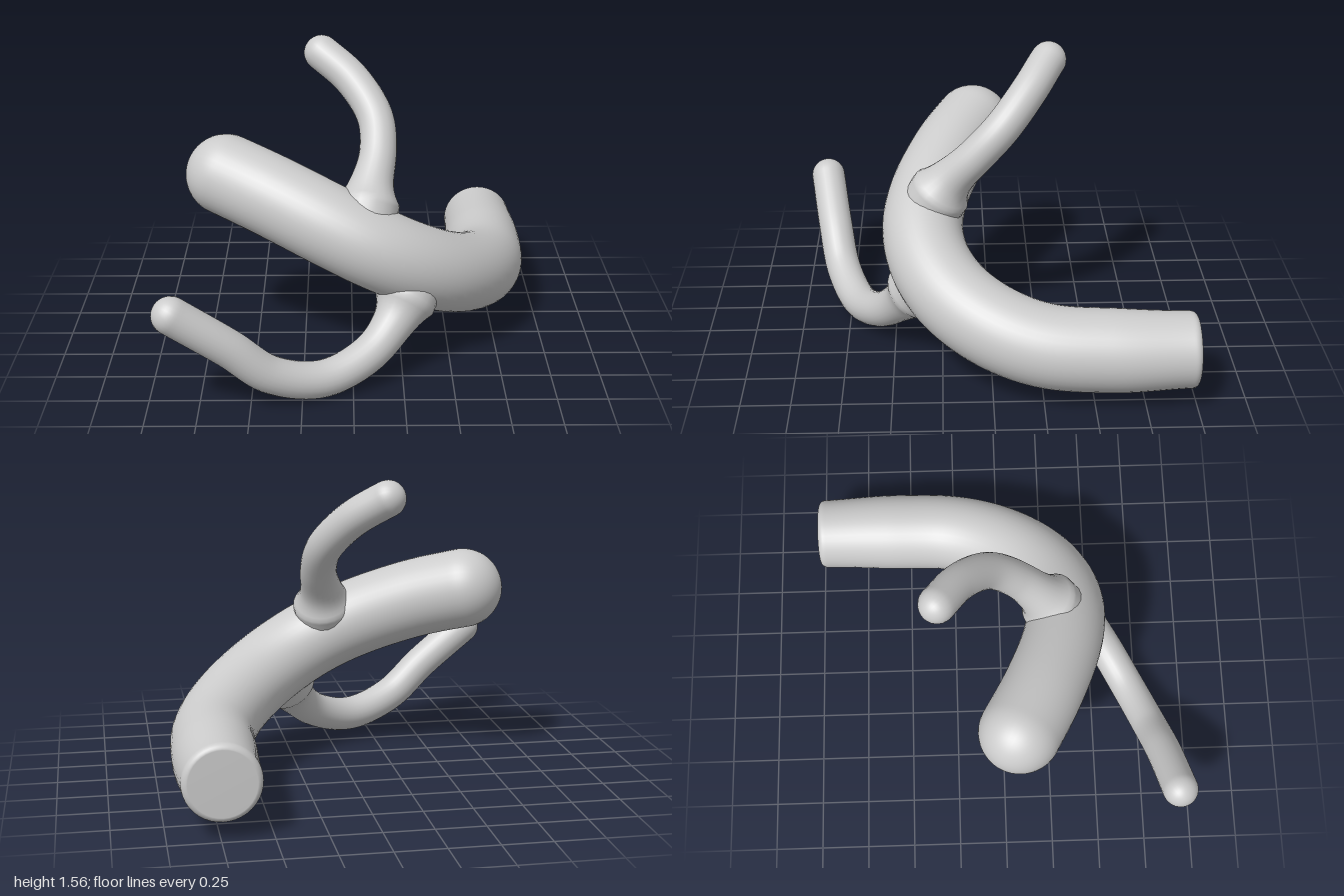
import * as THREE from 'three';
import { mergeVertices } from 'three/addons/utils/BufferGeometryUtils.js';

const material = new THREE.MeshStandardMaterial({ color: 0xcccccc });

// Round tube along a curve; radiusAt(s, length) gives its radius at distance s.
function limb(name, points, segments, sides, radiusAt) {
  const curve = new THREE.CatmullRomCurve3(points.map((p) => new THREE.Vector3(...p)), false, 'centripetal');
  const length = curve.getLength();
  // crowd the rings towards both ends so the caps come out round
  const ease = (u) => (1 - Math.cos(Math.PI * u)) / 2;
  const map = curve.getUtoTmapping.bind(curve);
  curve.getUtoTmapping = (u, d) => map(ease(u), d);

  let geometry = new THREE.TubeGeometry(curve, segments, 1, sides, false);
  const position = geometry.attributes.position;
  const v = new THREE.Vector3();
  for (let i = 0; i <= segments; i++) {
    const center = curve.getPointAt(i / segments);
    const r = radiusAt(ease(i / segments) * length, length);
    for (let j = 0; j <= sides; j++) {
      const k = i * (sides + 1) + j;
      v.fromBufferAttribute(position, k).sub(center).multiplyScalar(r).add(center);
      position.setXYZ(k, v.x, v.y, v.z);
    }
  }
  geometry.deleteAttribute('uv');
  geometry.deleteAttribute('normal');
  geometry = mergeVertices(geometry, 1e-5);
  geometry.computeVertexNormals();
  const mesh = new THREE.Mesh(geometry, material);
  mesh.name = name;
  return mesh;
}

// Radius that closes in a hemisphere over the last r units
const roundTip = (r, left) => (left < r ? Math.sqrt(Math.max(0, r * r - (r - left) ** 2)) : r);

// Trunk: flat cut end with a rounded rim, rounded far tip
function trunkRadius(s, length) {
  if (s === 0) return 0;
  const rim = 0.035;
  const body = 0.19 + 0.018 * THREE.MathUtils.smoothstep(s, 0, 0.45);
  const cut = s < rim ? rim - Math.sqrt(rim * rim - (rim - s) ** 2) : 0;
  return roundTip(body, length - s) - cut;
}

// Branch: flares where it grows out of the trunk, rounded tip
function branchRadius(s, length) {
  const r = 0.093;
  return roundTip(r, length - s) + 0.065 * Math.exp(-Math.max(0, s - 0.19) / 0.08);
}

export function createModel() {
  const group = new THREE.Group();
  group.name = 'branchingTube';
  group.add(
    limb('trunk', [
      [0.74, 0.28, -1], [0.74, 0.28, -0.6], [0.715, 0.3, -0.25], [0.62, 0.36, 0.0],
      [0.46, 0.45, 0.2], [0.28, 0.55, 0.31], [0.1, 0.645, 0.345], [-0.1, 0.74, 0.315],
      [-0.4, 0.86, 0.2], [-0.65, 0.935, 0.07], [-0.82, 0.98, -0.02],
    ], 110, 40, trunkRadius),
    limb('lowerBranch', [
      [0.33, 0.5, 0.29], [0.2, 0.28, 0.46], [0.07, 0.16, 0.575], [-0.15, 0.095, 0.7],
      [-0.4, 0.17, 0.8], [-0.6, 0.34, 0.85], [-0.86, 0.535, 0.9], [-0.93, 0.59, 0.915],
    ], 80, 24, branchRadius),
    limb('upperBranch', [
      [0.05, 0.69, 0.34], [0.09, 0.9, 0.21], [0.13, 1.06, 0.07], [0.115, 1.2, -0.06],
      [0.0, 1.355, -0.2], [-0.16, 1.47, -0.31], [-0.22, 1.51, -0.36],
    ], 70, 24, branchRadius),
  );
  return group;
}
